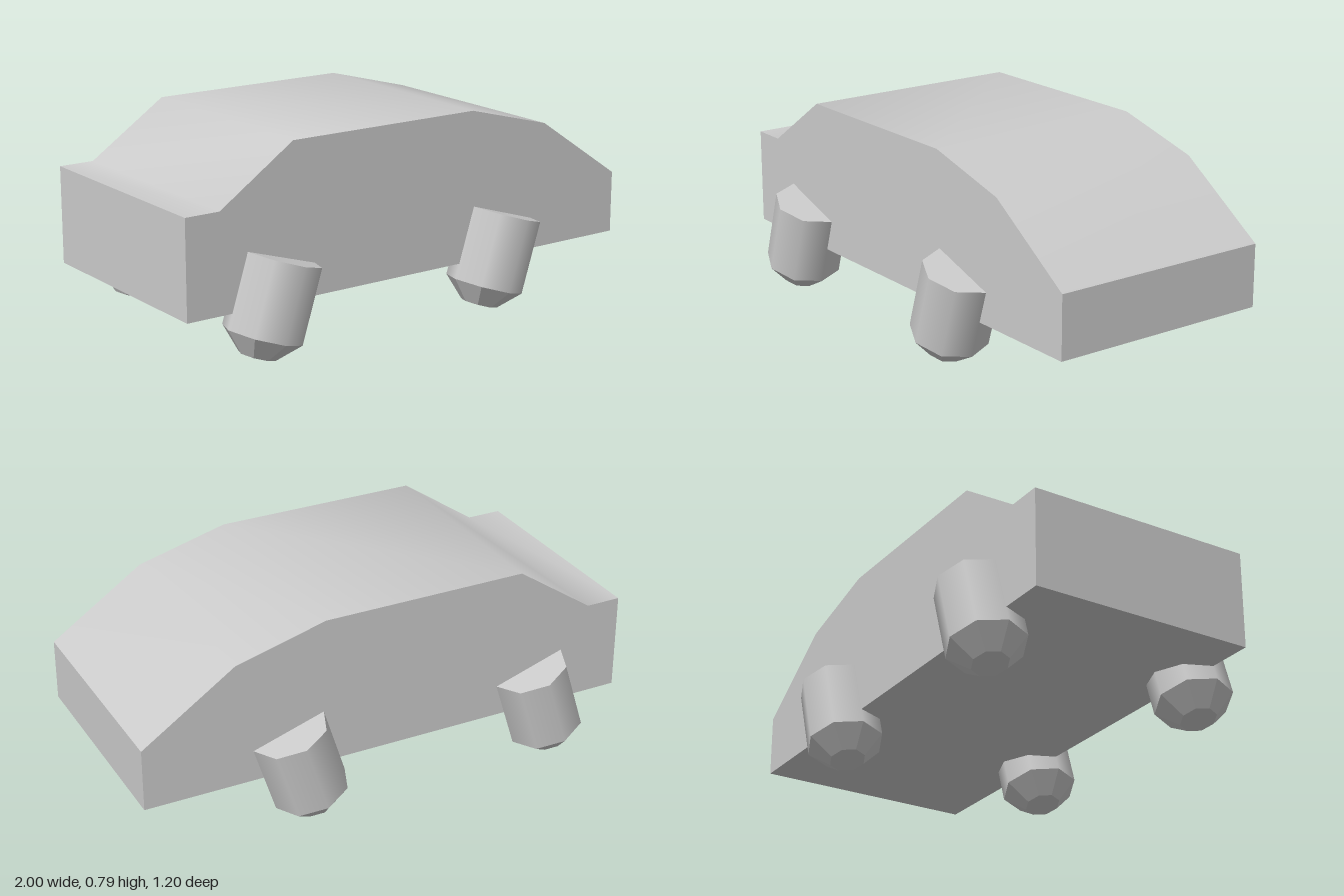
import * as THREE from 'three';
import { toCreasedNormals } from 'three/addons/utils/BufferGeometryUtils.js';

const smoothGrey = new THREE.MeshStandardMaterial({ color: 0xcccccc });
const flatGrey = new THREE.MeshStandardMaterial({ color: 0xcccccc, flatShading: true });

function addMesh(parent, name, geometry, material, y = 0) {
  const mesh = new THREE.Mesh(geometry, material);
  mesh.name = name;
  mesh.position.y = y;
  parent.add(mesh);
}

// Tilted eight-sided stub with a tapered foot, hanging from its top centre
function makeWheel(name, x, z) {
  const radius = 0.15, length = 0.286, taper = 0.078;
  const wheel = new THREE.Group();
  wheel.name = name;
  addMesh(wheel, 'wheelBarrel', new THREE.CylinderGeometry(radius, radius, length, 8), smoothGrey, -length / 2);
  addMesh(wheel, 'wheelTip', new THREE.CylinderGeometry(radius, 0.07, taper, 8), flatGrey, -length - taper / 2);
  wheel.position.set(x, 0.37, z);
  wheel.rotation.z = -0.306;
  return wheel;
}

export function createModel() {
  const car = new THREE.Group();
  car.name = 'car';

  // Body: side profile extruded across the width, softly shaded over the roof
  const profile = [
    [-1, 0.2], [1, 0.2], [1, 0.445], [0.63, 0.695],
    [0.27, 0.79], [-0.55, 0.79], [-0.86, 0.58], [-1, 0.58],
  ];
  const shape = new THREE.Shape(profile.map(([x, y]) => new THREE.Vector2(x, y)));
  const body = new THREE.ExtrudeGeometry(shape, { depth: 0.9, bevelEnabled: false });
  body.translate(0, 0, -0.45);
  addMesh(car, 'body', toCreasedNormals(body, THREE.MathUtils.degToRad(50)), smoothGrey);

  // Four wheels, centred on the body's sides
  for (const [end, x] of [['left', -0.603 + 1.028], ['right', -0.603]]) {
    for (const [side, z] of [['Front', 0.45], ['Back', -0.45]]) {
      car.add(makeWheel(`${end}${side}Wheel`, x, z));
    }
  }
  return car;
}
